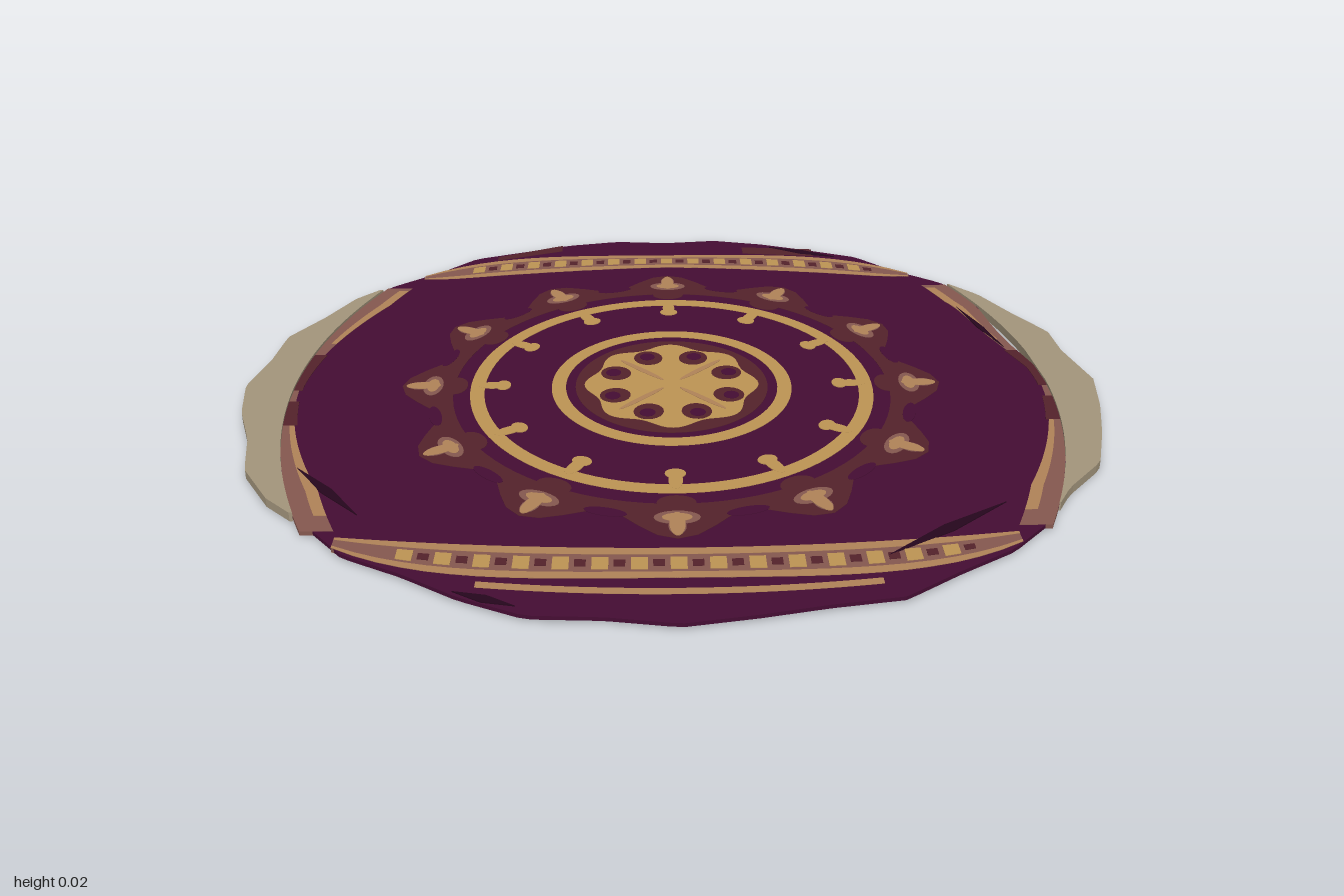
import * as THREE from 'three';

const mat = (name, color) => {
  const m = new THREE.MeshStandardMaterial({ color });
  m.name = name;
  return m;
};

export function createModel() {
  const purple = mat('plum wool', 0x450d33);
  const gold = mat('gold thread', 0xbd9454);
  const brown = mat('brown wool', 0x54222b);
  const mauve = mat('mauve wool', 0x85584f);
  const tan = mat('tan thread', 0xb08358);
  const beige = mat('beige backing', 0xa3957c);
  const dark = mat('fold shadow wool', 0x26061d);

  const rug = new THREE.Group();
  rug.name = 'roundRug';
  const V = (x, z) => new THREE.Vector2(x, z);

  // Every layer is a thin plate centred on the same height; thicker ones show on both faces
  function layer(name, shapes, material, thick, sx = 1) {
    const g = new THREE.ExtrudeGeometry(shapes, { depth: thick, bevelEnabled: false, curveSegments: 10 });
    g.rotateX(Math.PI / 2);
    g.translate(0, 0.01 + thick / 2, 0);
    g.scale(sx, 1, 1);
    const mesh = new THREE.Mesh(g, material);
    mesh.name = name;
    rug.add(mesh);
  }

  // Shape helpers in the floor plane
  const polar = (f, n = 96) => Array.from({ length: n }, (_, i) => {
    const a = (i / n) * Math.PI * 2, r = f(a);
    return V(r * Math.cos(a), r * Math.sin(a));
  });
  const ring = (outer, inner) => {
    const s = new THREE.Shape(polar(typeof outer === 'function' ? outer : () => outer));
    s.holes.push(new THREE.Path(polar(() => inner).reverse()));
    return s;
  };
  // Oval spots repeated around a circle: rr is radial, rt tangential half size
  const spots = (n, r, rr, rt, turn = 0) => Array.from({ length: n }, (_, i) => {
    const a = ((i + turn) / n) * Math.PI * 2;
    return new THREE.Shape().absellipse(r * Math.cos(a), r * Math.sin(a), rr, rt, 0, Math.PI * 2, false, a);
  });
  // Strip between two curves v = f(u); swap runs it along z
  const strip = (f, g, u0, u1, swap = false, n = 28) => {
    const p = [];
    for (let i = 0; i <= n; i++) { const u = u0 + (u1 - u0) * i / n; p.push(V(u, f(u))); }
    for (let i = n; i >= 0; i--) { const u = u0 + (u1 - u0) * i / n; p.push(V(u, g(u))); }
    return new THREE.Shape(swap ? p.map(q => V(q.y, q.x)) : p);
  };

  // Ragged round outline, and the side edges of the woven field
  const N = 44;
  const rimR = Array.from({ length: N }, (_, i) =>
    Math.min(1, 0.984 + 0.012 * Math.sin(i * 2.4 + 1) + 0.008 * Math.sin(i * 1.1)));
  rimR[0] = rimR[N / 2] = 1;
  const rim = rimR.map((r, i) => {
    const a = (i / N) * Math.PI * 2;
    return V(r * Math.cos(a), r * Math.sin(a));
  });
  const sideX = z => 0.885 - 0.125 * (z / 0.62) ** 2;
  const gap = z => (z > -0.46 && z < -0.08 ? 0.022 * Math.sin((z + 0.46) / 0.38 * Math.PI) : 0);
  const fieldX = (z, s) => sideX(z) - (s > 0 ? gap(z) : 0);

  // Woven field with curved sides
  const dense = new THREE.Shape(rim).getSpacedPoints(220);
  dense.pop();
  layer('field', new THREE.Shape(dense.map(p => {
    const s = Math.sign(p.x) || 1;
    return V(s * Math.min(Math.abs(p.x), fieldX(p.y, s)), p.y);
  })), purple, 0.008);

  // Bare crescents of backing on both sides
  for (const s of [1, -1]) {
    const outer = dense.filter(p => p.x * s > sideX(p.y) + 0.002 && Math.abs(p.y) < 0.74)
      .sort((a, b) => a.y - b.y);
    const inner = outer.map(p => V(s * sideX(p.y), p.y)).reverse();
    layer(s > 0 ? 'leftCrescent' : 'rightCrescent', new THREE.Shape([...outer, ...inner]), beige, 0.02);

    // Tapered border along the field's side
    const edge = z => s * fieldX(z, s);
    const wide = (k, c) => z => s * (fieldX(z, s) - c - k * Math.min(1, Math.abs(z) / 0.5) ** 1.5);
    layer('sideBorder', strip(edge, wide(0.055, 0.012), -0.62, 0.66, true), mauve, 0.009);
    layer('sideBorderLine', [[-0.6, -0.25], [0.2, 0.6]].map(([a, b]) =>
      strip(wide(0.035, 0.006), wide(0.055, 0.012), a, b, true)), tan, 0.01);
    layer('sideBorderShade', [[-0.18, 0.02], [0.08, 0.2]].map(([a, b]) =>
      strip(edge, wide(0.05, 0.02), a, b, true)), brown, 0.0105);
  }

  // Curved bands across the back and the front
  const bands = [
    ['backBand', x => -0.86 + 0.16 * (x / 0.68) ** 4, x => -0.765 + 0.08 * Math.min(1, Math.abs(x) / 0.6) ** 1.5],
    ['frontBand', x => 0.84 - 0.14 * (x / 0.7) ** 4, x => 0.735 - 0.055 * (x / 0.7) ** 2],
  ];
  for (const [name, out, inn] of bands) {
    const mix = t => x => inn(x) + (out(x) - inn(x)) * t;
    const W = 0.67;
    layer(name, strip(out, inn, -W, W), mauve, 0.0095);
    layer(name + 'Edges', [strip(out, mix(0.8), -W, W), strip(mix(0.22), inn, -W, W)], tan, 0.0105);
    const dots = [], dashes = [];
    for (let i = -7; i <= 7; i++) {
      const x = i * 0.075;
      dots.push(strip(mix(0.72), mix(0.32), x - 0.016, x + 0.016, false, 2));
      dashes.push(strip(mix(0.62), mix(0.4), x + 0.026, x + 0.048, false, 2));
    }
    layer(name + 'Blocks', dots, gold, 0.0115);
    layer(name + 'Dashes', dashes, brown, 0.0115);
  }
  layer('frontPinstripe', strip(x => 0.895 - 0.2 * x * x, x => 0.875 - 0.2 * x * x, -0.38, 0.38), tan, 0.0095);
  layer('hemPatches', [
    strip(x => -0.945 + 0.1 * x, x => -0.9 + 0.12 * x, 0.22, 0.42),
    strip(x => -0.87 - 0.5 * (x + 0.45), x => -0.84 - 0.4 * (x + 0.45), -0.48, -0.3),
  ], brown, 0.0095);

  // Dark creases near the rim
  const crease = (x0, z0, x1, z1, w) => {
    const d = V(x1 - x0, z1 - z0).normalize().multiplyScalar(w);
    return new THREE.Shape([V(x0, z0), V((x0 + x1) / 2 - d.y, (z0 + z1) / 2 + d.x),
      V(x1, z1), V((x0 + x1) / 2 + d.y, (z0 + z1) / 2 - d.x)]);
  };
  layer('creases', [
    crease(-0.8, 0.4, -0.64, 0.6, 0.012), crease(0.4, 0.77, 0.67, 0.57, 0.014),
    crease(0.76, -0.46, 0.83, -0.2, 0.008), crease(0.3, -0.92, 0.48, -0.84, 0.014),
    crease(-0.42, 0.88, -0.3, 0.93, 0.012),
  ], dark, 0.0125);

  // Medallion, slightly narrower than it is long
  const SX = 0.905;
  const lobes = a => 0.655 + 0.045 * Math.cos(12 * a);
  layer('halo', ring(lobes, 0.565), brown, 0.0095, SX);
  layer('haloTips', spots(12, 0.56, 0.03, 0.045), brown, 0.0095, SX);
  layer('haloGaps', spots(12, 0.615, 0.016, 0.05, 0.5), purple, 0.0105, SX);
  layer('haloPetals', [...spots(12, 0.62, 0.026, 0.052), ...spots(12, 0.655, 0.03, 0.02)], mauve, 0.0115, SX);
  layer('haloBuds', [...spots(12, 0.645, 0.045, 0.018), ...spots(12, 0.62, 0.016, 0.034)], tan, 0.0125, SX);

  layer('outerRing', ring(0.522, 0.485), gold, 0.0105, SX);
  layer('outerRingTabs', [...spots(12, 0.465, 0.04, 0.017), ...spots(12, 0.438, 0.02, 0.025)], gold, 0.0115, SX);

  layer('innerRing', ring(0.312, 0.275), gold, 0.0105, SX);
  layer('innerDisc', new THREE.Shape(polar(() => 0.25)), brown, 0.0095, SX);
  layer('rosette', new THREE.Shape(polar(a => 0.215 + 0.012 * Math.cos(8 * a))), gold, 0.0115, SX);
  layer('rosetteHoles', spots(8, 0.158, 0.04, 0.038, 0.5), brown, 0.0125, SX);
  layer('rosetteHoleCentres', spots(8, 0.165, 0.02, 0.02, 0.5), purple, 0.0135, SX);
  layer('rosetteVeins', spots(4, 0.11, 0.08, 0.008, 0.5), tan, 0.0135, SX);

  return rug;
}
